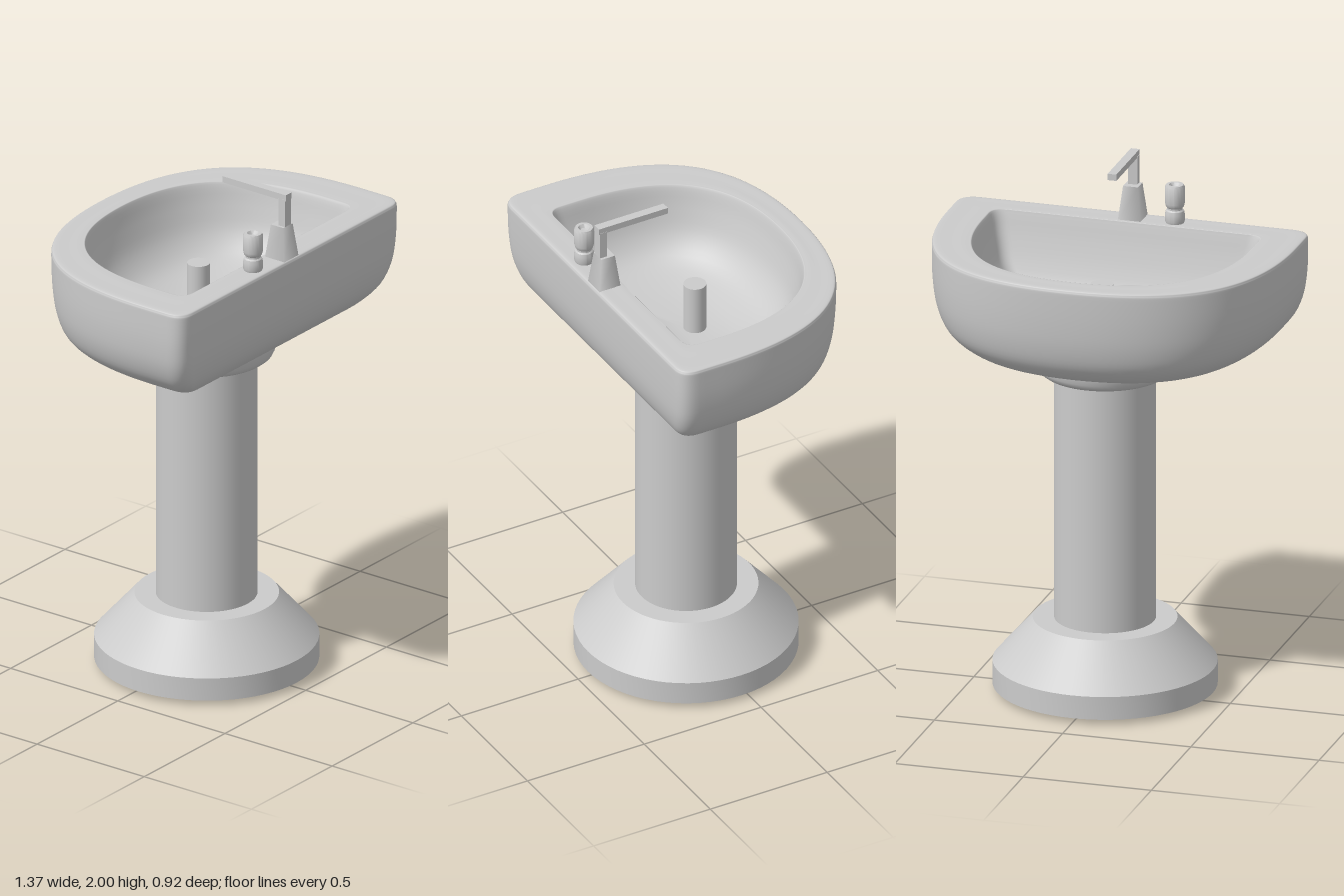
import * as THREE from 'three';
import { toCreasedNormals } from 'three/addons/utils/BufferGeometryUtils.js';

const material = new THREE.MeshStandardMaterial({ color: 0xcccccc });

function add(group, name, geometry, x = 0, y = 0, z = 0) {
  const mesh = new THREE.Mesh(geometry, material);
  mesh.name = name;
  mesh.position.set(x, y, z);
  group.add(mesh);
}

function lathe(profile, segments = 64) {
  const points = profile.map(([r, y]) => new THREE.Vector2(r, y));
  return toCreasedNormals(new THREE.LatheGeometry(points, segments), 0.5);
}

// Closed D-shaped outline: curved towards -z (fuller with larger k),
// straight along +z with rounded corners
function outline(w, zFront, zBack, k) {
  const depth = zBack - zFront;
  const zSide = zFront + depth * 0.8;
  const r = Math.min(depth * 0.08, w * 0.2);
  const path = new THREE.Path();
  path.moveTo(0, zFront);
  path.bezierCurveTo(w * k, zFront, w, zSide + (zFront - zSide) * k, w, zSide);
  path.lineTo(w, zBack - r);
  path.quadraticCurveTo(w, zBack, w - r, zBack);
  path.lineTo(0, zBack);
  const counts = [30, 4, 8, 14];
  const half = [new THREE.Vector2(0, zFront)];
  path.curves.forEach((c, i) => half.push(...c.getPoints(counts[i]).slice(1)));
  const mirrored = half.slice(1, -1).reverse().map((p) => new THREE.Vector2(-p.x, p.y));
  return [...half, ...mirrored];
}

// Basin: one skin running up the outside, over the rim and down into the bowl
function basinGeometry() {
  // height, half width, front z, back z, fullness
  const rings = [
    [1.325, 0, 0.02, 0.02, 0.66],
    [1.325, 0.2, -0.13, 0.15, 0.66],
    [1.326, 0.39, -0.25, 0.27, 0.66],
    [1.337, 0.48, -0.32, 0.325, 0.67],
    [1.365, 0.56, -0.375, 0.365, 0.68],
    [1.42, 0.63, -0.42, 0.405, 0.69],
    [1.5, 0.668, -0.445, 0.428, 0.69],
    [1.6, 0.683, -0.457, 0.437, 0.69],
    [1.71, 0.685, -0.462, 0.44, 0.69],
    [1.732, 0.683, -0.46, 0.438, 0.69],
    [1.74, 0.672, -0.451, 0.428, 0.69],
    [1.74, 0.61, -0.41, 0.385, 0.68],
    [1.74, 0.54, -0.372, 0.337, 0.67],
    [1.73, 0.522, -0.361, 0.329, 0.67],
    [1.65, 0.502, -0.342, 0.31, 0.67],
    [1.55, 0.468, -0.306, 0.28, 0.67],
    [1.475, 0.4, -0.24, 0.245, 0.67],
    [1.435, 0.27, -0.14, 0.18, 0.65],
    [1.418, 0.12, -0.05, 0.09, 0.6],
    [1.415, 0, 0.02, 0.02, 0.6],
  ];
  const curve = (fn) => new THREE.CatmullRomCurve3(rings.map(fn), false, 'catmullrom', 0.5);
  const sizes = curve((r) => new THREE.Vector3(r[1], r[2], r[3]));
  const levels = curve((r) => new THREE.Vector3(r[4], r[0], 0));
  const steps = (rings.length - 1) * 4;
  const positions = [];
  const index = [];
  let n = 0;
  for (let i = 0; i <= steps; i++) {
    const s = sizes.getPoint(i / steps);
    const level = levels.getPoint(i / steps);
    const pts = outline(Math.max(s.x, 0), s.y, s.z, level.x);
    n = pts.length;
    for (const p of pts) positions.push(p.x, level.y, p.y);
  }
  for (let i = 0; i < steps; i++) {
    for (let j = 0; j < n; j++) {
      const a = i * n + j;
      const b = i * n + ((j + 1) % n);
      index.push(a, a + n, b, b, a + n, b + n);
    }
  }
  const geometry = new THREE.BufferGeometry();
  geometry.setAttribute('position', new THREE.Float32BufferAttribute(positions, 3));
  geometry.setIndex(index);
  geometry.computeVertexNormals();
  return geometry;
}

export function createModel() {
  const model = new THREE.Group();
  model.name = 'pedestalSink';
  const pz = 0.038; // pedestal axis

  // Pedestal
  add(model, 'base', lathe([
    [0, 0], [0.3, 0.004], [0.42, 0.02], [0.42, 0.11], [0.27, 0.28], [0, 0.28],
  ]), 0, 0, pz);
  add(model, 'column', new THREE.CylinderGeometry(0.19, 0.19, 0.99, 64, 1, true), 0, 0.765, pz);
  add(model, 'collar', lathe([
    [0, 1.25], [0.215, 1.25], [0.235, 1.254], [0.248, 1.264], [0.256, 1.28],
    [0.262, 1.305], [0.267, 1.34],
  ]), 0, 0, pz);

  // Bowl and drain
  add(model, 'basin', basinGeometry());
  add(model, 'drain', new THREE.CylinderGeometry(0.043, 0.043, 0.23, 32), 0, 1.495, 0);

  // Faucet: tapered square foot with softened sides, upright stem, level spout
  const faucet = new THREE.Group();
  faucet.name = 'faucet';
  faucet.position.set(0, 0, 0.388);
  const foot = new THREE.CylinderGeometry(0.029 * Math.SQRT2, 0.045 * Math.SQRT2, 0.135, 4);
  foot.rotateY(Math.PI / 4);
  add(faucet, 'faucetFoot', foot, 0, 1.8025, 0);
  add(faucet, 'faucetStem', new THREE.BoxGeometry(0.036, 0.12, 0.03), 0, 1.92, 0.014);
  add(faucet, 'faucetSpout', new THREE.BoxGeometry(0.034, 0.025, 0.295), 0, 1.9875, -0.1155);
  model.add(faucet);

  // Tap knob with a dimpled top
  add(model, 'tapKnob', lathe([
    [0.032, 1.735], [0.037, 1.748], [0.037, 1.775], [0.034, 1.788], [0.029, 1.793],
    [0.029, 1.8], [0.034, 1.806], [0.037, 1.818], [0.037, 1.882], [0.033, 1.89],
    [0.022, 1.89], [0.014, 1.878], [0, 1.874],
  ], 32), -0.167, 0, 0.38);

  return model;
}
